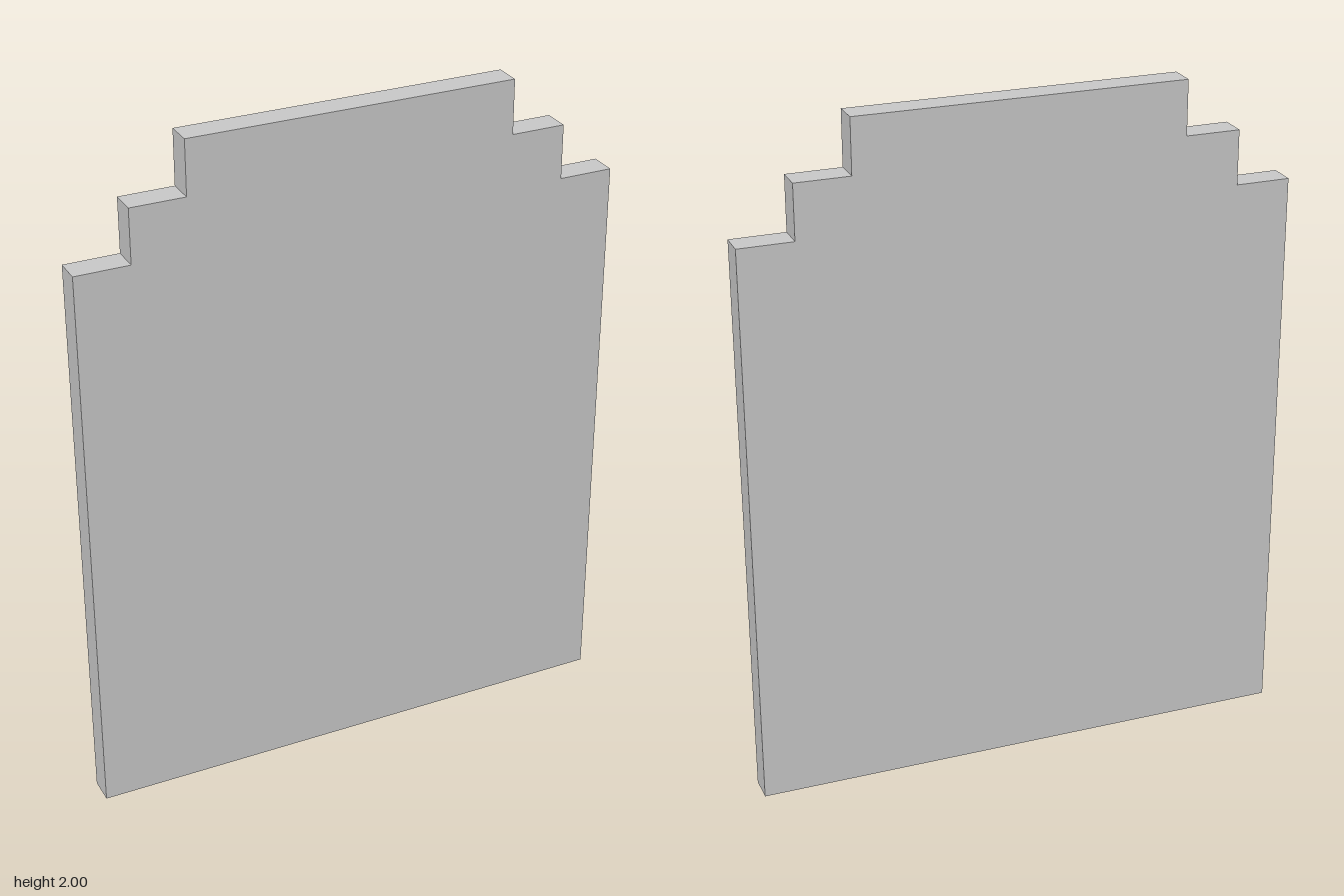
import * as THREE from 'three';

// Flat upright slab with a stepped top, extruded from a mirrored outline
export function createModel() {
  const group = new THREE.Group();
  group.name = 'steppedSlab';

  const depth = 0.08;
  // Right half of the outline, bottom to top
  const half = [[0.8, 0], [0.8, 1.68], [0.64, 1.68], [0.64, 1.84], [0.48, 1.84], [0.48, 2]];
  const mirrored = half.map(([x, y]) => [-x, y]).reverse();
  const outline = [...half, ...mirrored].map(([x, y]) => new THREE.Vector2(x, y));

  const geometry = new THREE.ExtrudeGeometry(new THREE.Shape(outline), { depth, bevelEnabled: false });
  geometry.translate(0, 0, -depth / 2);

  const slab = new THREE.Mesh(
    geometry,
    new THREE.MeshStandardMaterial({ color: 0xcccccc, flatShading: true })
  );
  slab.name = 'slab';
  group.add(slab);
  return group;
}
